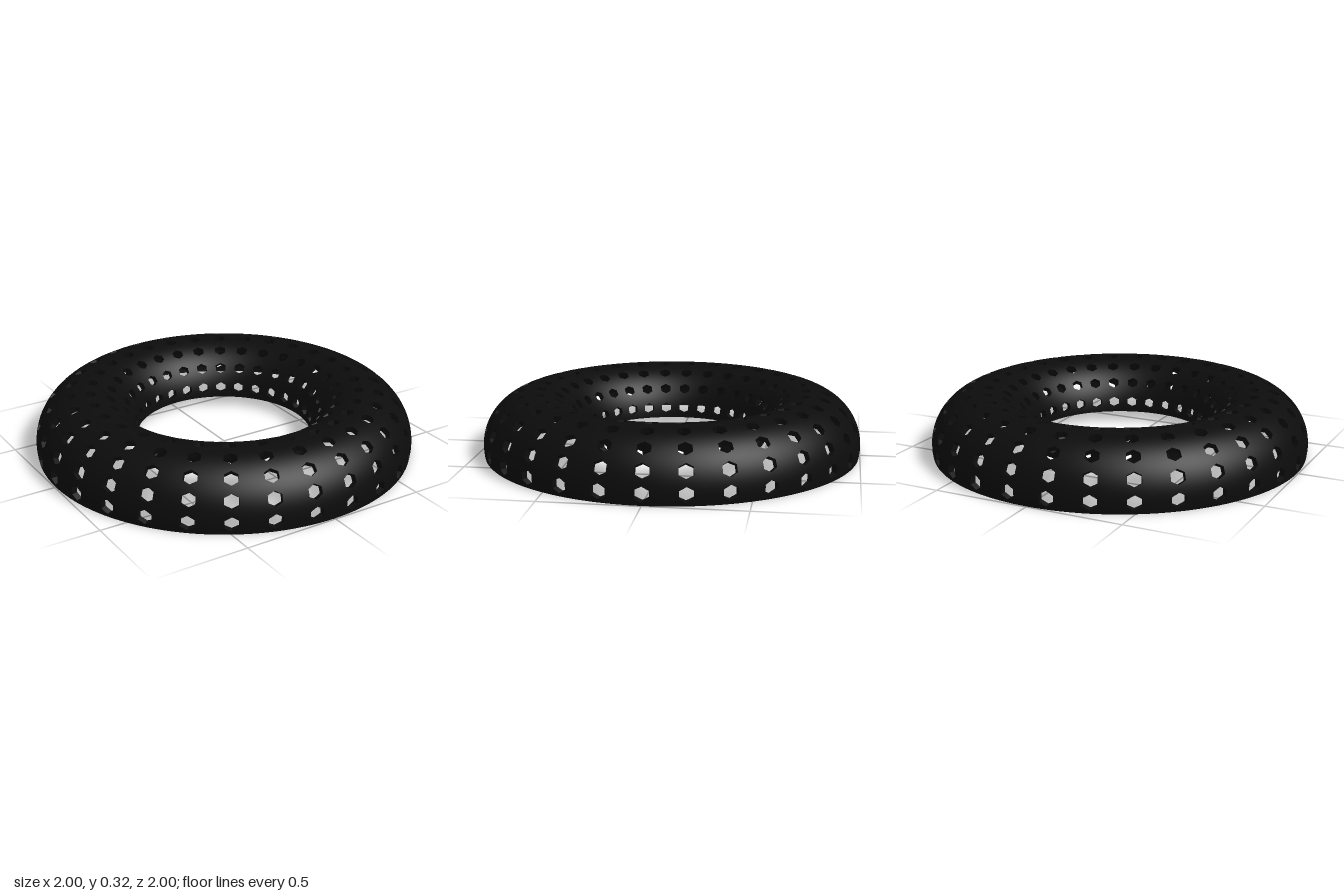
import * as THREE from 'three';

const R = 0.733, r = 0.267, T = 0.03;           // ring radius, tube radius, wall thickness
const COLS = 30, ROWS = 8, N = 24;              // holes round the ring, round the tube, points per hole
const DA = THREE.MathUtils.degToRad(24), DZ = Math.PI * 2 / COLS;
const YC = r * Math.sin(DA / 2);                // height of the tube centre

// Point on the tube wall: az round the ring, a round the tube (0 = top), depth into the wall
function point(az, a, depth) {
  const rad = R + (r - depth) * Math.sin(a);
  return new THREE.Vector3(rad * Math.sin(az), YC + (r - depth) * Math.cos(a), rad * Math.cos(az));
}
const normal = (az, a) => new THREE.Vector3(
  Math.sin(a) * Math.sin(az), Math.cos(a), Math.sin(a) * Math.cos(az));

// Collects quads; normals are given or left flat
class Surface {
  constructor() { this.pos = []; this.nor = []; }
  quad(p, n) {
    const flat = new THREE.Vector3().subVectors(p[1], p[0])
      .cross(new THREE.Vector3().subVectors(p[2], p[0])).normalize();
    for (const i of [0, 1, 2, 0, 2, 3]) {
      this.pos.push(...p[i].toArray());
      this.nor.push(...(n ? n[i] : flat).toArray());
    }
  }
  mesh(name, material) {
    const g = new THREE.BufferGeometry();
    g.setAttribute('position', new THREE.Float32BufferAttribute(this.pos, 3));
    g.setAttribute('normal', new THREE.Float32BufferAttribute(this.nor, 3));
    const m = new THREE.Mesh(g, material);
    m.name = name;
    return m;
  }
}

// Loops of [az, a] round one cell: hexagonal hole, midway loop, cell border
function cellLoops(azc, ac) {
  const rad = R + r * Math.sin(ac);
  const size = 0.028 + 0.018 * (rad - 0.5);
  const hole = [], mid = [], border = [];
  for (let k = 0; k < N; k++) {
    const f = k / N * Math.PI * 2, c = Math.cos(f), s = Math.sin(f);
    const sixth = Math.PI / 3;
    const hex = Math.cos(sixth / 2) / Math.cos(((f + sixth / 2) % sixth) - sixth / 2);
    const sq = 1 / Math.max(Math.abs(c), Math.abs(s));
    const h = [azc + size * 1.12 * hex * c / rad, ac - size * 1.04 * hex * s / r];
    const b = [azc + sq * c * DZ / 2, ac - sq * s * DA / 2];
    hole.push(h);
    border.push(b);
    mid.push([(h[0] + b[0]) / 2, (h[1] + b[1]) / 2]);
  }
  return [hole, mid, border];
}

export function createModel() {
  const group = new THREE.Group();
  group.name = 'perforatedHalfRing';
  const material = new THREE.MeshStandardMaterial({ color: 0x0c0c0c });
  const outer = new Surface(), inner = new Surface(), walls = new Surface(), rims = new Surface();

  for (let i = 0; i < COLS; i++) {
    for (let j = 0; j < ROWS; j++) {
      const loops = cellLoops((i + 0.5) * DZ, Math.PI / 2 - j * DA);
      for (let k = 0; k < N; k++) {
        const k2 = (k + 1) % N;
        // Outer and inner skin round the hole
        for (let l = 0; l < 2; l++) {
          const q = [loops[l][k], loops[l + 1][k], loops[l + 1][k2], loops[l][k2]];
          outer.quad(q.map(p => point(...p, 0)), q.map(p => normal(...p)));
          q.reverse();
          inner.quad(q.map(p => point(...p, T)), q.map(p => normal(...p).negate()));
        }
        // Side walls of the hole
        const a = loops[0][k], b = loops[0][k2];
        walls.quad([point(...a, 0), point(...b, 0), point(...b, T), point(...a, T)]);
      }
    }
  }

  // Bottom edges of the outer and inner wall
  const steps = COLS * 4;
  for (let i = 0; i < steps; i++) {
    const z0 = i / steps * Math.PI * 2, z1 = (i + 1) / steps * Math.PI * 2;
    const low = Math.PI / 2 + DA / 2, high = low - ROWS * DA;
    rims.quad([point(z1, low, 0), point(z0, low, 0), point(z0, low, T), point(z1, low, T)]);
    rims.quad([point(z0, high, 0), point(z1, high, 0), point(z1, high, T), point(z0, high, T)]);
  }

  group.add(outer.mesh('outerSkin', material), inner.mesh('innerSkin', material),
    walls.mesh('holeWalls', material), rims.mesh('bottomRims', material));
  return group;
}
